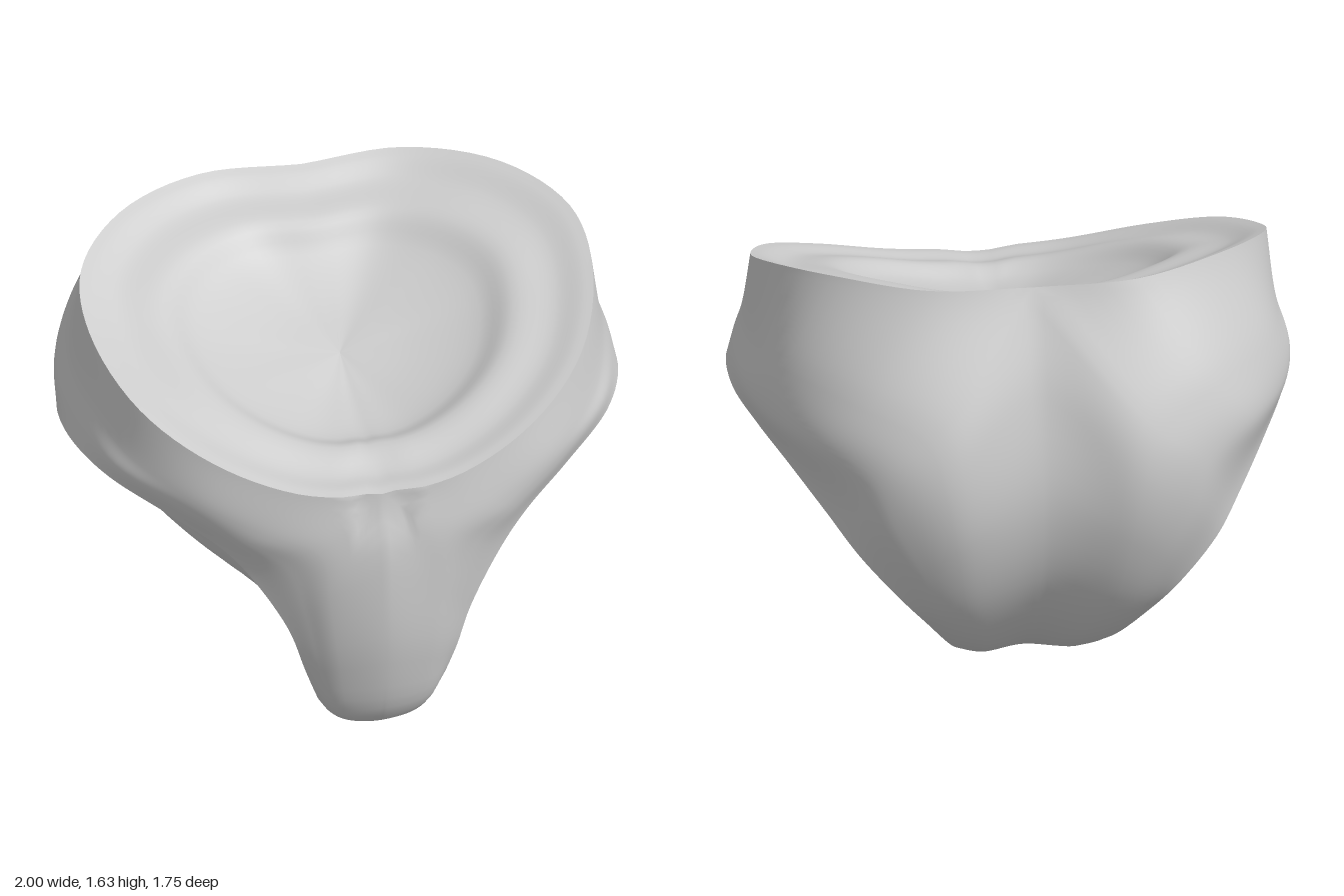
import * as THREE from 'three';
import { mergeVertices, mergeGeometries } from 'three/addons/utils/BufferGeometryUtils.js';

const STEP = 6; // samples between neighbouring control points
const vec = (a) => new THREE.Vector3(...a);
const mirror = (p) => new THREE.Vector3(-p.x, p.y, p.z);

// Left half: waist edge from front to back, then centre line down the back and up the front
const waist = [[0, 1.155, 0.81], [0.3, 1.19, 0.77], [0.58, 1.28, 0.65], [0.8, 1.39, 0.43], [0.91, 1.5, 0.1],
  [0.885, 1.58, -0.16], [0.69, 1.62, -0.41], [0.37, 1.612, -0.575], [0, 1.6, -0.57]].map(vec);
const centreLine = [[0, 1.6, -0.57], [0, 1.25, -0.73], [0, 0.85, -0.82], [0, 0.5, -0.74], [0, 0.2, -0.48],
  [0, 0.035, -0.03], [0, 0, 0.42], [0, 0.13, 0.77], [0, 0.45, 0.865], [0, 0.85, 0.865], [0, 1.155, 0.81]].map(vec);

// Ring halfway between those edges and the leg opening
const middle = [[0.23, 0.95, 0.825], [0.42, 1.03, 0.765], [0.65, 1.13, 0.645], [0.85, 1.2, 0.42], [0.935, 1.28, 0.15],
  [0.94, 1.28, -0.13], [0.86, 1.29, -0.42], [0.64, 1.25, -0.685], [0.4, 1.14, -0.82], [0.34, 0.96, -0.87],
  [0.3, 0.72, -0.855], [0.25, 0.42, -0.74], [0.17, 0.18, -0.5], [0.1, 0.045, -0.05], [0.08, 0.015, 0.41],
  [0.12, 0.14, 0.755], [0.16, 0.42, 0.83], [0.2, 0.75, 0.835]].map(vec);

// Ring just outside the leg opening, full across the buttocks
const swell = [[0.34, 0.87, 0.78], [0.49, 0.97, 0.73], [0.69, 1.07, 0.61], [0.885, 1.14, 0.405], [0.965, 1.17, 0.165],
  [0.985, 1.14, -0.1], [0.93, 1.1, -0.36], [0.785, 1.07, -0.625], [0.61, 0.98, -0.78], [0.53, 0.81, -0.82],
  [0.43, 0.62, -0.81], [0.34, 0.4, -0.72], [0.23, 0.19, -0.505], [0.145, 0.065, -0.08], [0.125, 0.04, 0.39],
  [0.175, 0.165, 0.735], [0.225, 0.395, 0.79], [0.275, 0.65, 0.79]].map(vec);

// Edge of the leg opening
const leg = [[0.45, 0.78, 0.7], [0.55, 0.9, 0.66], [0.72, 1.0, 0.55], [0.9, 1.07, 0.38], [0.985, 1.085, 0.18],
  [0.995, 1.055, -0.05], [0.94, 1.0, -0.24], [0.85, 0.91, -0.42], [0.74, 0.785, -0.59], [0.64, 0.66, -0.7],
  [0.5, 0.5, -0.73], [0.4, 0.38, -0.68], [0.27, 0.2, -0.5], [0.18, 0.09, -0.1], [0.165, 0.075, 0.38],
  [0.21, 0.2, 0.7], [0.27, 0.38, 0.75], [0.33, 0.57, 0.745]].map(vec);

// Samples a closed or open smooth curve evenly between its control points
function sample(points, closed) {
  const curve = new THREE.CatmullRomCurve3(points, closed);
  const n = (closed ? points.length : points.length - 1) * STEP;
  return Array.from({ length: n }, (_, i) => curve.getPoint(i / n));
}

// Skin over a list of closed rings with equal point counts
function skin(rings, flip = false) {
  const n = rings[0].length;
  const positions = rings.flat().flatMap((p) => [p.x, p.y, p.z]);
  const index = [];
  for (let r = 0; r < rings.length - 1; r++) {
    for (let i = 0; i < n; i++) {
      const a = r * n + i, b = r * n + (i + 1) % n, c = b + n, d = a + n;
      if (flip) index.push(a, c, b, a, d, c);
      else index.push(a, b, c, a, c, d);
    }
  }
  const geometry = new THREE.BufferGeometry();
  geometry.setAttribute('position', new THREE.Float32BufferAttribute(positions, 3));
  geometry.setIndex(index);
  return geometry;
}

// Runs smooth curves across the rings; `last` is the curve parameter to stop at
function loft(rings, divisions, last = 1) {
  const out = Array.from({ length: divisions + 1 }, () => []);
  for (let i = 0; i < rings[0].length; i++) {
    const curve = new THREE.CatmullRomCurve3(rings.map((r) => r[i]));
    for (let k = 0; k <= divisions; k++) out[k].push(curve.getPoint((k / divisions) * last));
  }
  return out;
}

function smooth(geometry) {
  const merged = mergeVertices(geometry, 1e-4);
  merged.computeVertexNormals();
  return merged;
}

export function createModel() {
  const group = new THREE.Group();
  const material = new THREE.MeshStandardMaterial({ color: 0xcccccc, side: THREE.DoubleSide });
  const add = (name, geometry) => {
    const mesh = new THREE.Mesh(smooth(geometry), material);
    mesh.name = name;
    group.add(mesh);
  };

  // Outer shell
  const waistEdge = sample(waist, false);
  const outer = [...waistEdge, ...sample(centreLine, false)];
  const legRing = sample(leg, true);
  const middleRing = sample(middle, true);
  // Ring beyond the edge keeps the surface smooth across the centre line, fading in from the waist corners
  const beyond = outer.map((p, i) => {
    const corner = Math.min(Math.abs(i - waistEdge.length), outer.length - i);
    const fade = i > waistEdge.length ? THREE.MathUtils.smoothstep(corner, 0, 2 * STEP) : 0;
    return p.clone().multiplyScalar(2).sub(middleRing[i]).lerp(mirror(middleRing[i]), fade);
  });
  const shell = loft([legRing, sample(swell, true), middleRing, outer, beyond], 36, 0.75);
  shell[36] = outer;

  // Shallow square notch under the front of the waist
  for (const p of shell.flat()) {
    if (p.z > 0.6 && p.y > 0.96) {
      p.z -= 0.022 * (1 - THREE.MathUtils.smoothstep(Math.abs(p.x), 0.085, 0.115))
        * THREE.MathUtils.smoothstep(p.y, 0.96, 1.1);
    }
  }
  const flipped = shell.map((ring) => ring.map(mirror));
  add('shell', mergeGeometries([skin(shell), skin(flipped, true)]));

  // Leg sockets: a sloping lip around an oval hollow
  const oval = legRing.map((p) => {
    const angle = Math.atan2((p.y - 0.62) / 0.52, (p.z - 0.03) / 0.74);
    const z = 0.05 + 0.42 * Math.cos(angle) + 0.04 * Math.sin(angle);
    const y = 0.65 + 0.28 * Math.sin(angle) + 0.03 * Math.cos(angle);
    return new THREE.Vector3(0.21 + 1.1 * (y - 0.38) - 0.15 * z, y, z);
  });
  const floorCentre = new THREE.Vector3(0.5, 0.65, 0.05);
  const inward = new THREE.Vector3(-0.67, 0.74, 0);
  const floorRing = (t, depth) => oval.map((p) => p.clone().lerp(floorCentre, t).addScaledVector(inward, depth));
  const lipRing = (t, depth) => legRing.map((p, i) => p.clone().lerp(oval[i], t).addScaledVector(inward, depth));
  const socket = loft([floorRing(0.999, 0.12), floorRing(0.5, 0.115), floorRing(0.12, 0.07),
    oval, lipRing(0.6, 0.012), lipRing(0.2, 0.025), legRing], 30);
  add('leftLegSocket', skin(socket));
  add('rightLegSocket', skin(socket.map((ring) => ring.map(mirror)), true));

  // Waist cap: a broad lip around a sunken middle
  const half = shell[36].slice(0, waistEdge.length + 1);
  const rim = [...half, ...half.slice(1, -1).reverse().map(mirror)];
  const capCentre = new THREE.Vector3(0, 1.36, 0.08);
  const capRing = (t, drop) => rim.map((p) => {
    const q = p.clone().lerp(capCentre, t);
    q.y -= drop;
    return q;
  });
  add('waistCap', skin(loft([rim, capRing(0.05, 0.005), capRing(0.15, 0.025), capRing(0.32, 0.02),
    capRing(0.45, 0.075), capRing(0.7, 0.11), capRing(0.999, 0.11)], 30)));

  return group;
}
